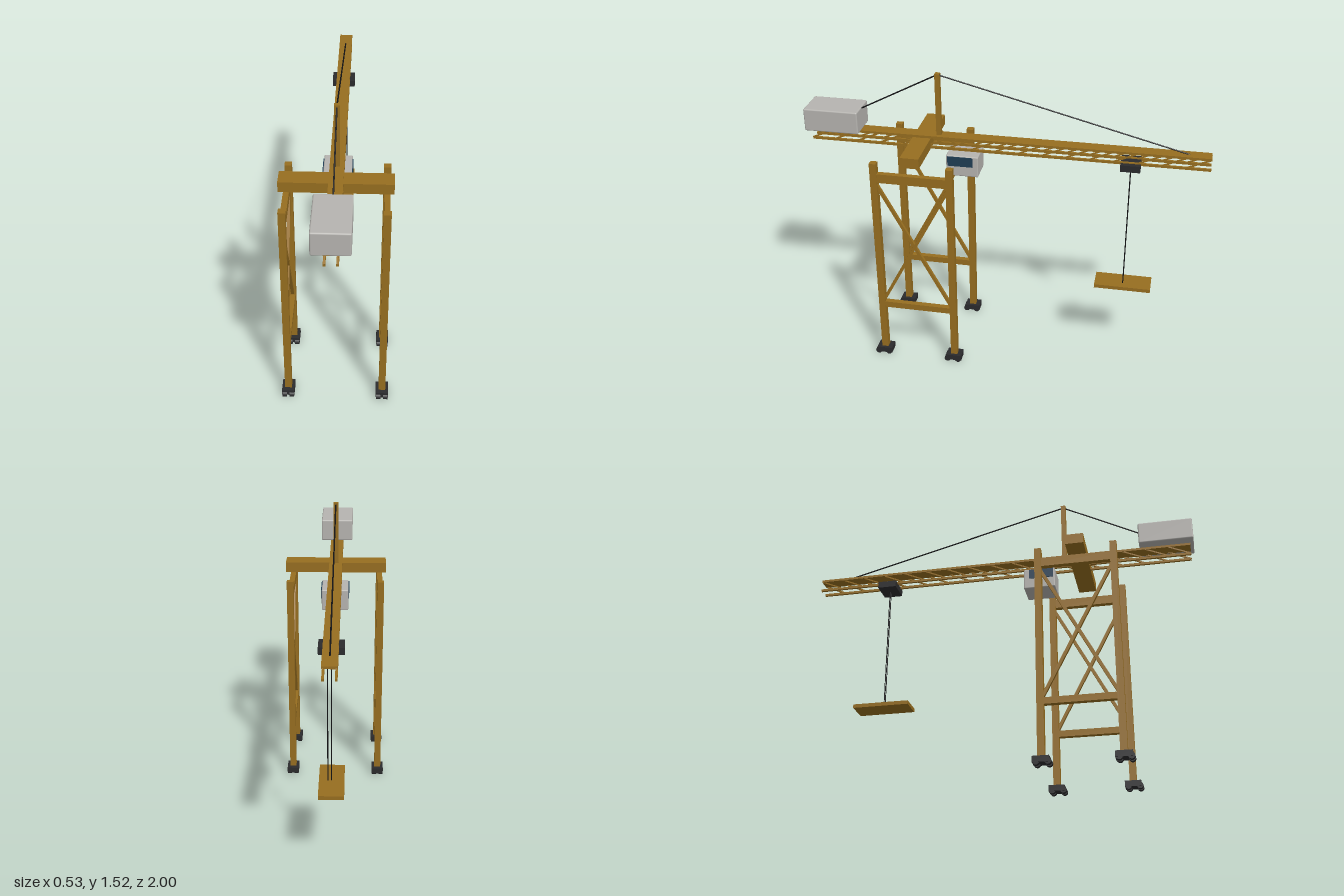
import * as THREE from 'three';
import { RoundedBoxGeometry } from 'three/addons/geometries/RoundedBoxGeometry.js';

const mat = (name, color) => {
  const m = new THREE.MeshStandardMaterial({ color });
  m.name = name;
  return m;
};

export function createModel() {
  const ochre = mat('ochre steel', 0x976e20);
  const grey = mat('light grey panel', 0xb6b4b0);
  const dark = mat('dark metal', 0x2b2b2d);
  const glass = mat('blue glass', 0x1f3d55);
  const cable = mat('black cable', 0x141416);

  const crane = new THREE.Group();
  crane.name = 'gantryCrane';

  const add = (parent, name, geometry, material, x, y, z) => {
    const mesh = new THREE.Mesh(geometry, material);
    mesh.name = name;
    mesh.position.set(x, y, z);
    parent.add(mesh);
    return mesh;
  };
  // Box given by its limits on each axis
  const box = (parent, name, material, [x0, x1], [y0, y1], [z0, z1], round = 0) => {
    const size = [x1 - x0, y1 - y0, z1 - z0];
    const geo = round ? new RoundedBoxGeometry(...size, 2, round) : new THREE.BoxGeometry(...size);
    return add(parent, name, geo, material, (x0 + x1) / 2, (y0 + y1) / 2, (z0 + z1) / 2);
  };
  // Straight member between two points: square bar, or round rod
  const member = (parent, name, material, a, b, width, round = false) => {
    const p = new THREE.Vector3(...a), q = new THREE.Vector3(...b);
    const length = p.distanceTo(q);
    const geo = round
      ? new THREE.CylinderGeometry(width / 2, width / 2, length, 8)
      : new THREE.BoxGeometry(width, length, width);
    const mid = p.clone().add(q).multiplyScalar(0.5);
    const mesh = add(parent, name, geo, material, mid.x, mid.y, mid.z);
    mesh.quaternion.setFromUnitVectors(new THREE.Vector3(0, 1, 0), q.sub(p).normalize());
    return mesh;
  };
  const span = (c, w) => [c - w / 2, c + w / 2];

  // Two side frames, each with two legs, braces and wheeled feet
  const legZ = [0.228, 0.606];
  for (const side of [-1, 1]) {
    const frame = new THREE.Group();
    frame.name = side > 0 ? 'leftFrame' : 'rightFrame';
    crane.add(frame);
    const x = side * 0.235;
    for (const z of legZ) {
      box(frame, 'leg', ochre, span(x, 0.034), [0.035, 1.132], span(z, 0.034));
      box(frame, 'foot', dark, span(x, 0.062), [0.012, 0.042], span(z, 0.08));
      for (const dz of [-0.022, 0.034]) {
        for (const dx of [-0.018, 0.018]) {
          const wheel = add(frame, 'wheel', new THREE.CylinderGeometry(0.016, 0.016, 0.022, 14), dark, x + dx, 0.016, z + dz);
          wheel.rotation.z = Math.PI / 2;
        }
      }
    }
    box(frame, 'upperBrace', ochre, span(x, 0.028), [1.03, 1.077], legZ);
    box(frame, 'lowerBrace', ochre, span(x, 0.028), [0.297, 0.33], legZ);
    member(frame, 'crossBrace', ochre, [x, 0.33, 0.235], [x, 1.02, 0.6], 0.016);
    member(frame, 'crossBrace', ochre, [x, 1.02, 0.235], [x, 0.33, 0.6], 0.016);
  }

  // Portal beam resting on the legs
  box(crane, 'portalBeam', ochre, [-0.265, 0.265], [1.132, 1.185], [0.37, 0.462]);

  // Lattice girder: top plate, two lower rails and slanted lacing
  const girder = new THREE.Group();
  girder.name = 'girder';
  crane.add(girder);
  const zBack = -1, zFront = 0.982, bays = 17;
  box(girder, 'topPlate', ochre, [-0.034, 0.034], [1.188, 1.2], [zBack, zFront]);
  for (const x of [-0.028, 0.028]) {
    box(girder, 'lowerRail', ochre, span(x, 0.011), [1.133, 1.145], [zBack, zFront]);
    const step = (zFront - zBack) / bays;
    for (let i = 0; i < bays; i++) {
      const z = zFront - i * step;
      member(girder, 'lacing', ochre, [x, 1.141, z], [x, 1.192, z - step], 0.007);
    }
  }

  // Mast and stay cables
  box(crane, 'mast', ochre, [-0.013, 0.013], [1.19, 1.52], span(0.332, 0.024));
  member(crane, 'frontStay', cable, [0, 1.513, 0.332], [0, 1.3, 0.74], 0.007, true);
  member(crane, 'backStay', cable, [0, 1.513, 0.332], [0, 1.198, -0.895], 0.007, true);

  // Machinery house
  box(crane, 'machineryHouse', grey, [-0.086, 0.086], [1.2, 1.316], [0.724, 1], 0.007);

  // Operator cab with side windows
  const cab = new THREE.Group();
  cab.name = 'cab';
  crane.add(cab);
  box(cab, 'cabBody', grey, [-0.068, 0.068], [1.01, 1.12], [0.124, 0.286], 0.006);
  for (const side of [-1, 1]) {
    box(cab, 'cabWindow', glass, span(side * 0.069, 0.006), [1.065, 1.115], [0.152, 0.278]);
  }

  // Trolley, hoist ropes and spreader
  box(crane, 'trolley', dark, [-0.059, 0.059], [1.106, 1.14], [-0.668, -0.571]);
  for (const x of [0, 0.018]) {
    member(crane, 'hoistRope', cable, [x, 0.44, -0.62], [x, 1.11, -0.62], 0.005, true);
  }
  box(crane, 'spreader', ochre, [-0.06, 0.06], [0.427, 0.446], [-0.763, -0.476]);

  return crane;
}
